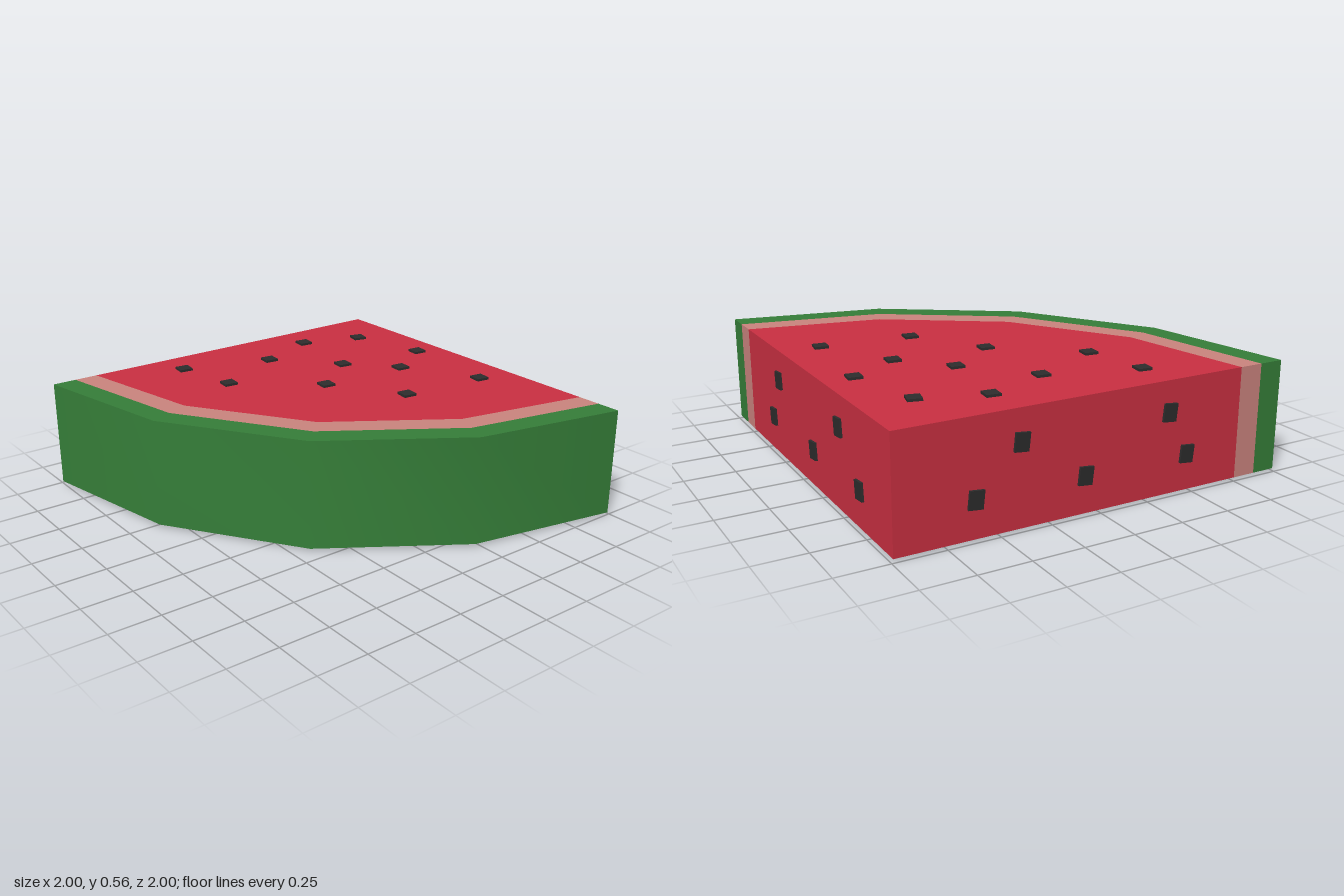
import * as THREE from 'three';
import { toCreasedNormals } from 'three/addons/utils/BufferGeometryUtils.js';

const CORNER = -0.988, BOTTOM = 0.014, TOP = 0.554;
const SEED_DEPTH = 0.024; // half sunk into the surface

// Quarter ring (or quarter disc when inner is 0) with four facets, lying flat
function wedge(name, inner, outer, color) {
  const arc = (r) => Array.from({ length: 5 }, (_, i) => {
    const a = (i * Math.PI) / 8;
    return new THREE.Vector2(r * Math.cos(a), r * Math.sin(a));
  });
  const points = inner > 0 ? [...arc(outer), ...arc(inner).reverse()] : [...arc(outer), new THREE.Vector2(0, 0)];
  let geometry = new THREE.ExtrudeGeometry(new THREE.Shape(points), { depth: TOP - BOTTOM, bevelEnabled: false });
  geometry.rotateX(Math.PI / 2);
  geometry.translate(CORNER, TOP, CORNER);
  geometry = toCreasedNormals(geometry, 0.5); // smooth around the rind, sharp at the cuts
  const mesh = new THREE.Mesh(geometry, new THREE.MeshStandardMaterial({ color }));
  mesh.name = name;
  return mesh;
}

export function createModel() {
  const model = new THREE.Group();
  model.name = 'watermelonSlice';

  // Flesh, pale band and rind
  model.add(
    wedge('flesh', 0, 1.75, 0xcc3042),
    wedge('paleBand', 1.75, 1.868, 0xcc857f),
    wedge('rind', 1.868, 1.988, 0x367f39),
  );

  const seedMaterial = new THREE.MeshStandardMaterial({ color: 0x2d2d2d });
  const addSeed = (name, size, position, rotation) => {
    const seed = new THREE.Mesh(new THREE.BoxGeometry(...size), seedMaterial);
    seed.name = name;
    seed.position.set(...position);
    seed.rotation.set(...rotation);
    model.add(seed);
  };

  // Seeds on the top and bottom faces: x, z, turn
  const flatSeeds = [
    [-0.68, -0.74, 0.24], [-0.28, -0.84, 0.1], [0.26, -0.79, 0.12], [-0.12, -0.58, 0.1],
    [-0.785, -0.43, 0.1], [-0.35, -0.37, 0.11], [0.22, -0.33, 0.13], [-0.65, -0.1, 0.1],
    [-0.14, -0.1, 0.1], [-0.79, 0.35, 0.11], [-0.455, 0.285, 0.1],
  ];
  for (const [x, z, turn] of flatSeeds) {
    addSeed('topSeed', [0.068, SEED_DEPTH, 0.068], [x, TOP, z], [0, -turn, 0]);
    addSeed('bottomSeed', [0.068, SEED_DEPTH, 0.068], [x, BOTTOM, z], [0, -turn, 0]);
  }

  // Seeds on the two cut sides, alternating low and high
  const sideSeeds = [-0.67, -0.455, -0.135, 0.305, 0.41];
  sideSeeds.forEach((along, i) => {
    const y = i % 2 ? 0.405 : 0.192;
    addSeed('backSeed', [0.07, 0.085, SEED_DEPTH], [along, y, CORNER], [0, 0, -0.1]);
    addSeed('sideSeed', [SEED_DEPTH, 0.085, 0.07], [CORNER, y, along + 0.055], [0.1, 0, 0]);
  });

  return model;
}
